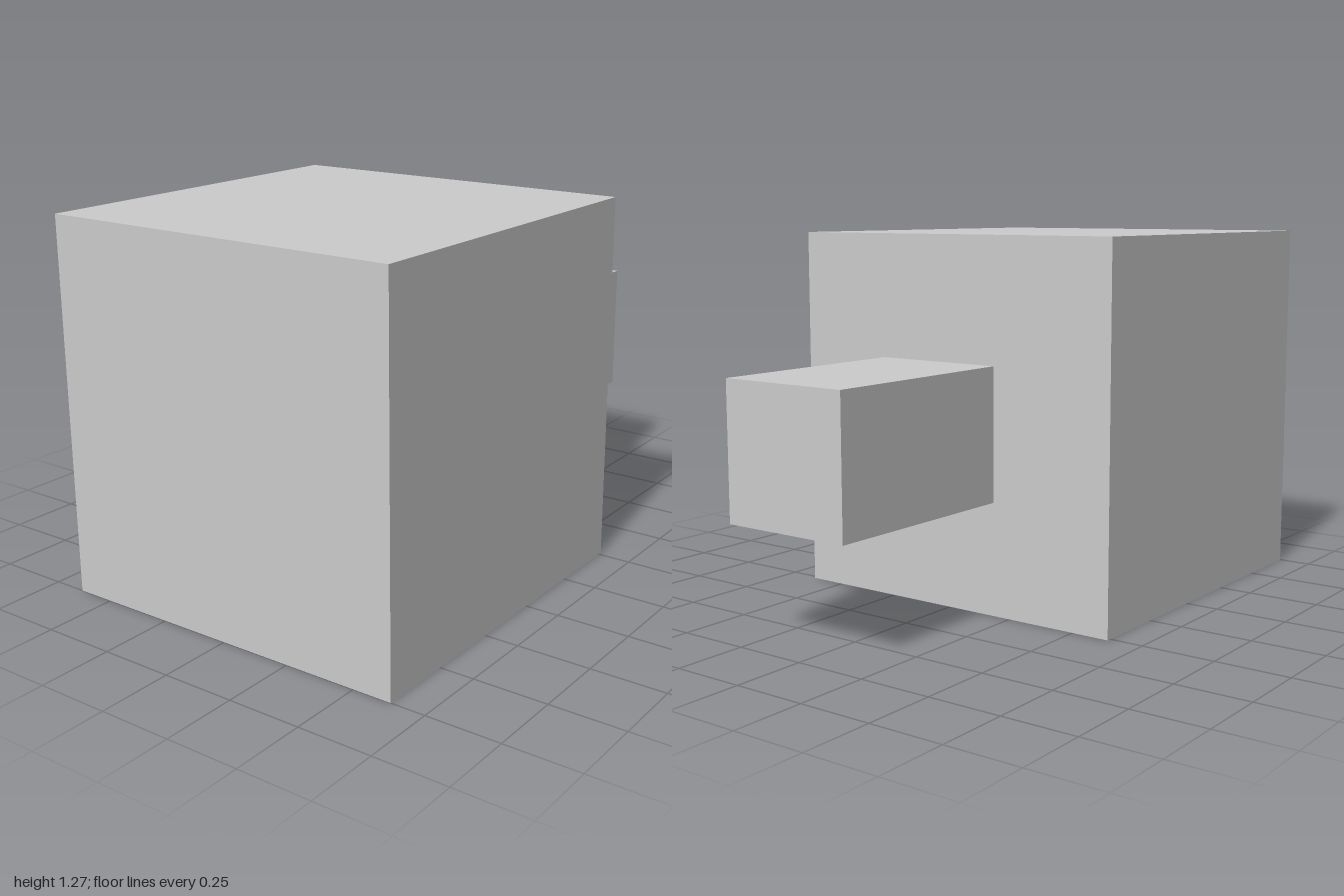
import * as THREE from 'three';

// Box given by its lower and upper corners
function block(name, min, max, material) {
  const size = max.map((v, i) => v - min[i]);
  const mesh = new THREE.Mesh(new THREE.BoxGeometry(...size), material);
  mesh.position.set(...max.map((v, i) => (v + min[i]) / 2));
  mesh.name = name;
  return mesh;
}

export function createModel() {
  const model = new THREE.Group();
  model.name = 'cubeWithArm';
  const grey = new THREE.MeshStandardMaterial({ color: 0xcccccc, flatShading: true });

  // Large cube resting on the ground
  model.add(block('body', [-1, 0, -0.633], [0.266, 1.266, 0.633], grey));

  // Bar projecting from the left face, slightly forward of centre
  model.add(block('arm', [0.266, 0.387, -0.186], [1, 0.841, 0.283], grey));

  return model;
}
